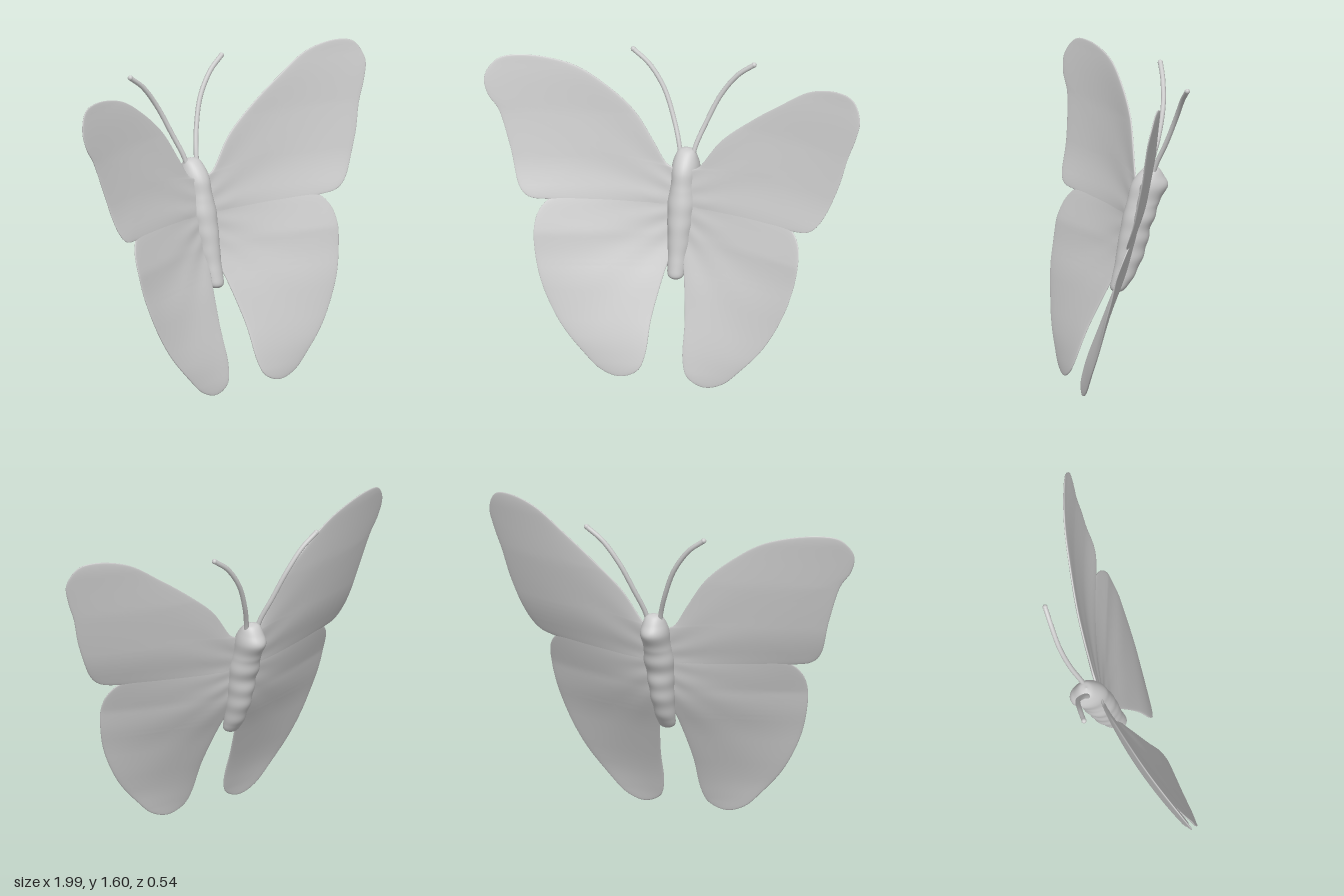
import * as THREE from 'three';

const material = new THREE.MeshStandardMaterial({ color: 0xcccccc, roughness: 0.8 });

// Wing outlines (x away from the body, y up); the two forewings differ a little.
const foreLeft = [[0.03, 1.02], [0.085, 1.055], [0.2, 1.21], [0.36, 1.345], [0.52, 1.46], [0.7, 1.575], [0.865, 1.61],
  [0.95, 1.59], [0.995, 1.5], [0.975, 1.4], [0.935, 1.29], [0.89, 1.13], [0.8, 0.935], [0.74, 0.88], [0.64, 0.86],
  [0.4, 0.84], [0.15, 0.82], [0.03, 0.82]];
const foreRight = [[0.03, 1.02], [0.085, 1.055], [0.15, 1.155], [0.26, 1.315], [0.42, 1.45], [0.58, 1.54], [0.82, 1.585],
  [0.94, 1.565], [0.995, 1.48], [0.975, 1.39], [0.92, 1.31], [0.855, 1.13], [0.79, 0.925], [0.74, 0.875], [0.64, 0.86],
  [0.4, 0.84], [0.15, 0.82], [0.03, 0.82]];
const hind = [[0.03, 0.88], [0.2, 0.89], [0.45, 0.885], [0.63, 0.87], [0.685, 0.81], [0.7, 0.71], [0.655, 0.49],
  [0.545, 0.27], [0.41, 0.115], [0.32, 0.035], [0.22, 0.006], [0.13, 0.045], [0.1, 0.12], [0.088, 0.3],
  [0.055, 0.5], [0.03, 0.62]];

// Piecewise-linear lookup over rows of [key, value], keys ascending.
function lookup(table, key) {
  if (key <= table[0][0]) return table[0][1];
  for (let i = 1; i < table.length; i++) {
    const [k0, v0] = table[i - 1], [k1, v1] = table[i];
    if (key <= k1) return v0 + (v1 - v0) * (key - k0) / (k1 - k0);
  }
  return table[table.length - 1][1];
}

// By height: depth at the root, forward sweep, and how curved that sweep is.
const rootDepth = [[0, 0.255], [0.2, 0.187], [0.5, 0.055], [0.6, 0.005], [0.7, -0.03], [0.9, -0.06], [1, -0.08],
  [1.2, -0.1], [1.5, -0.125], [1.6, -0.138]];
const sweep = [[0, 0.06], [0.12, 0.16], [0.27, 0.215], [0.49, 0.3], [0.7, 0.355], [0.86, 0.32], [1, 0.28], [1.3, 0.235],
  [1.5, 0.21], [1.6, 0.2]];
const curl = [[0.7, 1.3], [1.3, 2]];

// The wings sweep forward away from the body, with faint folds fanning out from the root.
function wingDepth(x, y) {
  let z = 0, c = 0;
  for (const d of [-0.06, -0.03, 0, 0.03, 0.06]) {
    z += lookup(rootDepth, y + d) / 5;
    c += lookup(sweep, y + d) / 5;
  }
  const angle = Math.atan2(y - 0.86, x + 0.12), r = Math.hypot(x, y - 0.86);
  const folds = 0.0025 * Math.sin(angle * 17) * Math.min(1, r * 8) * Math.exp(-r * 3);
  return z + c * Math.pow(x, lookup(curl, y)) + folds;
}

// Closed surface through loops of points, wrapping around each loop.
function loft(loops) {
  const n = loops[0].length, index = [];
  for (let k = 0; k + 1 < loops.length; k++) {
    for (let i = 0; i < n; i++) {
      const j = (i + 1) % n, a = k * n + i, b = k * n + j, c = a + n, d = b + n;
      index.push(a, c, b, b, c, d);
    }
  }
  const geometry = new THREE.BufferGeometry();
  geometry.setAttribute('position', new THREE.Float32BufferAttribute(loops.flat(2), 3));
  geometry.setIndex(index);
  geometry.computeVertexNormals();
  return geometry;
}

// Thin plate with rounded rim: loops grow from the centre to the outline and back behind.
function makeWing(name, outline, centre, side) {
  const curve = new THREE.CatmullRomCurve3(outline.map(([x, y]) => new THREE.Vector3(x, y, 0)), true, 'centripetal');
  const rim = curve.getSpacedPoints(160).slice(0, 160);
  if (side > 0) rim.reverse();
  const loops = [], steps = 48;
  for (let k = 0; k <= steps; k++) {
    const a = Math.PI * k / steps, s = Math.max(Math.sin(a), 0.001), cos = Math.cos(a);
    const half = 0.01 * Math.sign(cos) * Math.pow(Math.abs(cos), 0.5);
    loops.push(rim.map((p) => {
      const x = centre[0] + (p.x - centre[0]) * s, y = centre[1] + (p.y - centre[1]) * s;
      return [side * x, y, wingDepth(x, y) + half];
    }));
  }
  const mesh = new THREE.Mesh(loft(loops), material);
  mesh.name = name;
  return mesh;
}

// Lumpy body: height, depth, half width, half depth.
function makeBody() {
  const sections = [[1.125, -0.145, 0.002, 0.002], [1.112, -0.145, 0.04, 0.036], [1.07, -0.138, 0.06, 0.071],
    [1.02, -0.134, 0.07, 0.096], [0.955, -0.108, 0.066, 0.085], [0.88, -0.085, 0.074, 0.083], [0.8, -0.062, 0.07, 0.076],
    [0.72, -0.046, 0.064, 0.075], [0.64, -0.027, 0.058, 0.067], [0.56, 0, 0.05, 0.056], [0.505, 0.025, 0.043, 0.042],
    [0.485, 0.03, 0.028, 0.026], [0.478, 0.032, 0.002, 0.002]];
  const path = new THREE.CatmullRomCurve3(sections.map(([y, z]) => new THREE.Vector3(0, y, z)), false, 'catmullrom');
  const size = new THREE.CatmullRomCurve3(sections.map((s) => new THREE.Vector3(s[2], s[3], 0)), false, 'catmullrom');
  const loops = [];
  for (let k = 0; k <= 96; k++) {
    const p = path.getPoint(k / 96), r = size.getPoint(k / 96);
    // soft abdomen rings, strongest along the back
    const ring = p.y < 0.93 && p.y > 0.53 ? 0.04 * Math.sin((p.y - 0.53) * 2 * Math.PI / 0.1) : 0;
    loops.push(Array.from({ length: 32 }, (_, i) => {
      const a = i / 32 * Math.PI * 2, swell = 1 + ring * (0.6 + 0.4 * Math.sin(a));
      return [Math.cos(a) * r.x * swell, p.y, p.z - Math.sin(a) * r.y * swell];
    }).reverse());
  }
  // mirrored ring order keeps the faces outward as the loops run downward
  const geometry = loft(loops.map((loop) => loop.map(([x, y, z]) => [-x, y, z])));
  const mesh = new THREE.Mesh(geometry, material);
  mesh.name = 'body';
  return mesh;
}

// Curved feeler with a small rounded tip.
function makeAntenna(side) {
  const group = new THREE.Group();
  group.name = side > 0 ? 'leftAntenna' : 'rightAntenna';
  const points = [[0.03, 1.07, -0.14], [0.045, 1.14, -0.16], [0.085, 1.25, -0.2], [0.15, 1.395, -0.238],
    [0.235, 1.51, -0.254], [0.32, 1.575, -0.26]].map(([x, y, z]) => new THREE.Vector3(side * x, y, z));
  const stalk = new THREE.Mesh(new THREE.TubeGeometry(new THREE.CatmullRomCurve3(points), 40, 0.0125, 10), material);
  stalk.name = 'antennaStalk';
  const tip = new THREE.Mesh(new THREE.SphereGeometry(0.0135, 14, 10), material);
  tip.name = 'antennaTip';
  tip.position.copy(points[points.length - 1]);
  group.add(stalk, tip);
  return group;
}

export function createModel() {
  const model = new THREE.Group();
  model.name = 'butterfly';
  model.add(makeBody());
  for (const side of [1, -1]) {
    const label = side > 0 ? 'left' : 'right';
    model.add(makeWing(label + 'Forewing', side > 0 ? foreLeft : foreRight, [0.42, 1.1], side));
    model.add(makeWing(label + 'Hindwing', hind, [0.32, 0.55], side));
    model.add(makeAntenna(side));
  }
  return model;
}
